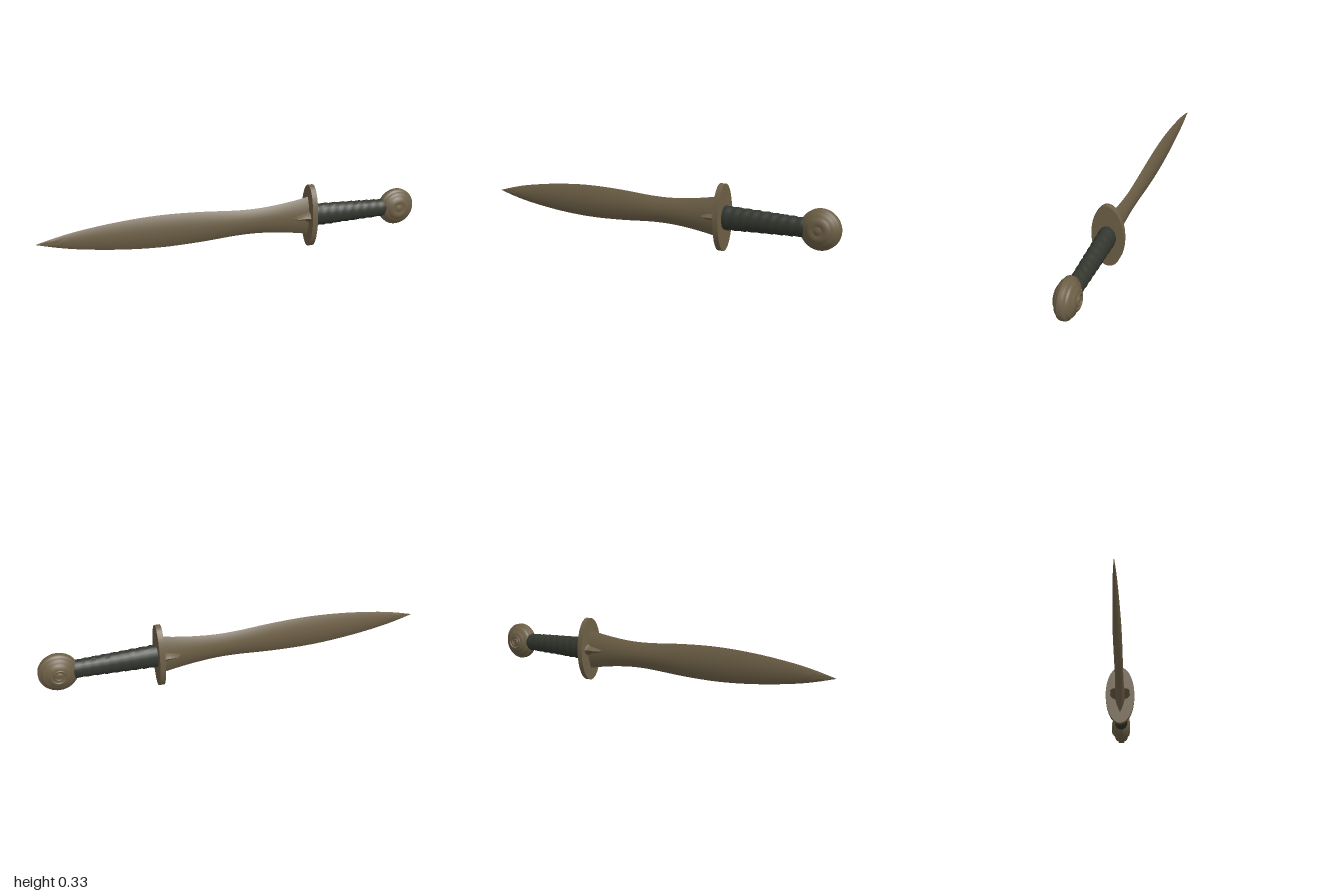
import * as THREE from 'three';
import { toCreasedNormals } from 'three/addons/utils/BufferGeometryUtils.js';

const CY = 0.167; // height of the sword's long axis

// Skin closed rings of points; ring(i, a) gives [x, y, z] with y, z about the axis
function loft(count, sides, ring) {
  const pos = [], index = [];
  for (let i = 0; i < count; i++) {
    for (let j = 0; j < sides; j++) {
      pos.push(...ring(i, (j / sides) * Math.PI * 2));
      if (i === count - 1) continue;
      const k = (j + 1) % sides;
      const a = i * sides + j, b = i * sides + k;
      index.push(a, b, a + sides, b, b + sides, a + sides);
    }
  }
  const g = new THREE.BufferGeometry();
  g.setAttribute('position', new THREE.Float32BufferAttribute(pos, 3));
  g.setIndex(index);
  g.computeVertexNormals();
  return g;
}

export function createModel() {
  const bronze = new THREE.MeshStandardMaterial({ color: 0x6e6047 });
  bronze.name = 'bronze';
  const leather = new THREE.MeshStandardMaterial({ color: 0x33372f });
  leather.name = 'dark leather';

  const sword = new THREE.Group();
  sword.name = 'sword';
  const add = (name, geometry, material, x = 0, z = 0) => {
    const mesh = new THREE.Mesh(geometry, material);
    mesh.name = name;
    mesh.position.set(x, CY, z);
    sword.add(mesh);
    return mesh;
  };

  // Leaf-shaped blade: x, half height, half thickness
  const outline = new THREE.CatmullRomCurve3([
    [-1, 0.001, 0.001], [-0.9, 0.027, 0.007], [-0.8, 0.047, 0.011], [-0.6, 0.073, 0.017],
    [-0.4, 0.085, 0.021], [-0.2, 0.081, 0.022], [0, 0.068, 0.022], [0.1, 0.067, 0.022],
    [0.2, 0.074, 0.023], [0.3, 0.087, 0.025], [0.4, 0.105, 0.028],
  ].map((p) => new THREE.Vector3(...p)));
  const stations = outline.getPoints(40);
  const blade = loft(stations.length, 20, (i, a) => {
    const p = stations[i], s = Math.sin(a);
    return [p.x, p.y * Math.cos(a), p.z * s * Math.abs(s)];
  });
  add('blade', toCreasedNormals(blade, 0.8), bronze);

  // Pointed ridge over the blade's root, on both faces
  const ridge = [[0.295, 0.002, 0.022], [0.305, 0.008, 0.042], [0.325, 0.016, 0.053],
    [0.36, 0.025, 0.052], [0.375, 0.032, 0.053], [0.39, 0.045, 0.06]];
  const root = loft(ridge.length, 12, (i, a) => {
    const [x, h, d] = ridge[i], s = Math.sin(a);
    return [x, h * Math.cos(a), d * s * Math.abs(s)];
  });
  add('bladeRoot', toCreasedNormals(root, 0.9), bronze);

  // Oval guard plate
  const guard = new THREE.CylinderGeometry(1, 1, 0.028, 28);
  guard.rotateZ(Math.PI / 2);
  guard.scale(1, 0.167, 0.08);
  add('guard', guard, bronze, 0.4);

  // Tapered grip with overlapping, slanted wraps
  const turns = 9, perTurn = 4, rows = turns * perTurn + 1;
  const grip = loft(rows, 24, (i, a) => {
    const t = i / (rows - 1), step = (i % perTurn) / perTurn;
    const swell = 0.94 + 0.08 * step;
    const x = 0.405 + 0.42 * t + 0.014 * Math.cos(a + 0.6) * Math.sin(Math.PI * t);
    return [x, (0.062 - 0.015 * t) * swell * Math.cos(a),
      (0.045 - 0.007 * t) * swell * Math.sin(a)];
  });
  add('grip', toCreasedNormals(grip, 0.7), leather);

  // Round pommel: raised rim band, shoulders and ringed domes
  const half = [[0, 0.052], [0.012, 0.052], [0.018, 0.047], [0.024, 0.048], [0.036, 0.051],
    [0.05, 0.048], [0.056, 0.042], [0.066, 0.037], [0.078, 0.032], [0.084, 0.024],
    [0.085, 0.019], [0.093, 0.018], [0.097, 0.01]];
  const profile = [
    ...half.map(([r, z]) => new THREE.Vector2(r, -z)),
    ...half.slice().reverse().map(([r, z]) => new THREE.Vector2(r, z)),
  ];
  const pommel = new THREE.LatheGeometry(profile, 40);
  pommel.rotateX(Math.PI / 2);
  add('pommel', pommel, bronze, 0.896);

  // Low spiral relief on the pommel's back
  const spiral = Array.from({ length: 30 }, (_, i) => {
    const r = 0.006 + 0.036 * (i / 29), a = (i / 29) * Math.PI * 4;
    return new THREE.Vector3(r * Math.cos(a), r * Math.sin(a), 0);
  });
  const relief = new THREE.TubeGeometry(new THREE.CatmullRomCurve3(spiral), 60, 0.006, 8);
  add('pommelSpiral', relief, bronze, 0.896, -0.05);

  return sword;
}
